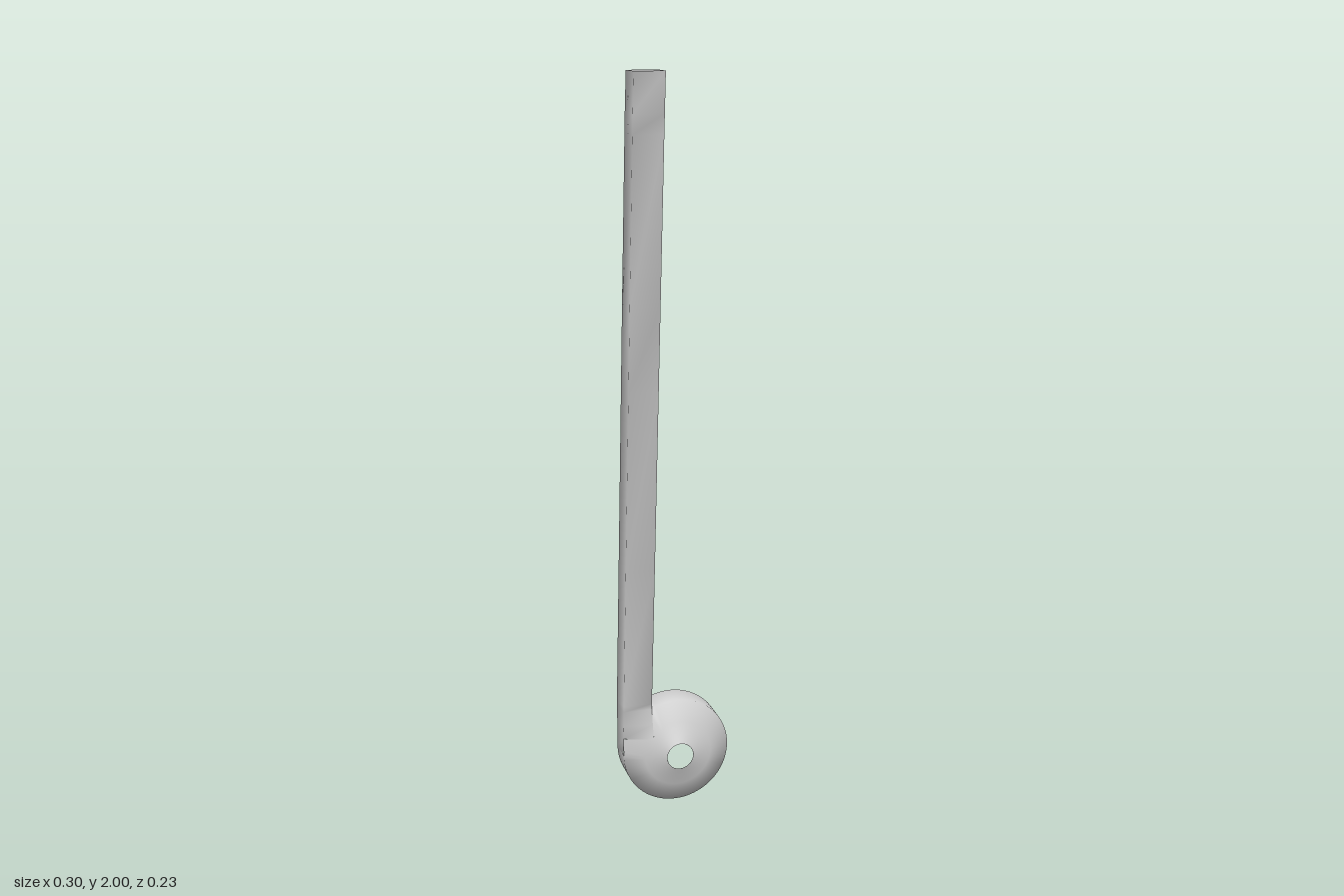
import * as THREE from 'three';

const material = new THREE.MeshStandardMaterial({ color: 0xcccccc, side: THREE.DoubleSide });

// Smooth thin skin over rows of points; columns wrap round, keep(row, column) selects cells
function skin(name, rows, keep) {
  const n = rows[0].length, index = [];
  for (let i = 0; i < rows.length - 1; i++) {
    for (let j = 0; j < n; j++) {
      if (!keep(i, j)) continue;
      const k = (j + 1) % n;
      const a = i * n + j, b = i * n + k, c = a + n, d = b + n;
      index.push(a, c, b, b, c, d);
    }
  }
  const geometry = new THREE.BufferGeometry();
  geometry.setAttribute('position', new THREE.Float32BufferAttribute(rows.flat(2), 3));
  geometry.setIndex(index);
  geometry.computeVertexNormals();
  const mesh = new THREE.Mesh(geometry, material);
  mesh.name = name;
  return mesh;
}

// Piecewise linear curve through [y, z] stops, listed from high to low
function follow(stops, y) {
  for (let i = 1; i < stops.length; i++) {
    const [y0, z0] = stops[i - 1], [y1, z1] = stops[i];
    if (y >= y1) return z0 + (z1 - z0) * (y0 - y) / (y0 - y1);
  }
  return stops[stops.length - 1][1];
}

const CY = 0.15, R = 0.15, HOLE = 0.038, BACK = -0.115;
const LEFT = -0.15, RIGHT = -0.07, JOIN = 0.283, FOOT = 0.2, STEP = 1.42;
const coneZ = r => -0.003 - 0.042 * (r - HOLE) / (R - HOLE);

// Hollow arm: closed box at the top, channel open to the back below the step
function makeArm() {
  const front = [[2, 0.115], [1.85, 0.1], [0.3, -0.04], [0.15, -0.045]];
  const back = [[2, 0.043], [1.9, 0.03], [STEP, -0.015], [0.3, BACK], [0.15, BACK]];
  const ys = [2, 1.9, 1.85, STEP, 1.2, 0.7, 0.3, JOIN, 0.24, FOOT, 0.15];
  const rows = ys.map(y => {
    const f = follow(front, y), b = follow(back, y);
    const left = y <= FOOT ? coneZ(Math.hypot(LEFT, y - CY)) : f;
    // the foot's inner edge follows the cone
    const right = y < JOIN ? coneZ(Math.hypot(RIGHT, y - CY)) : f;
    return [[LEFT, y, b], [LEFT, y, left], [RIGHT, y, right], [RIGHT, y, b]];
  });
  // lowest level reached by the outer, front, inner and back walls
  const ends = [0, FOOT, JOIN, STEP];
  return skin('arm', rows, (i, j) => ys[i + 1] >= ends[j]);
}

// Thin conical bowl with a centre hole; its rim is open where the arm joins
function makeBowl() {
  const degrees = [];
  const span = (from, to, steps) => {
    for (let i = 0; i < steps; i++) degrees.push(from + (to - from) * i / steps);
  };
  const joinAngle = 477.8;
  span(180, joinAngle, 60);
  const rimCells = degrees.length;
  span(joinAngle, 504.46, 5);
  span(504.46, 521.57, 4);
  span(521.57, 540, 4);

  const ring = (radius, z) => degrees.map(deg => {
    const t = THREE.MathUtils.degToRad(deg), c = Math.cos(t), s = Math.sin(t);
    const r = radius(deg, Math.abs(c), s);
    return [r * c, CY + r * s, z(r)];
  });
  const edge = (deg, c, s) => deg <= joinAngle ? R
    : Math.min(-LEFT / c, Math.max(-RIGHT / c, (FOOT - CY) / s));
  const rows = [
    ring(() => HOLE - 0.001, () => 0),
    ring(() => HOLE, coneZ),
    ring((...a) => (HOLE + edge(...a)) / 2, coneZ),
    ring(edge, coneZ),
    ring(edge, () => BACK),
  ];
  return skin('bowl', rows, (i, j) => i < 3 || j < rimCells);
}

export function createModel() {
  const group = new THREE.Group();
  group.name = 'armWithBowl';
  group.add(makeArm(), makeBowl());
  return group;
}
